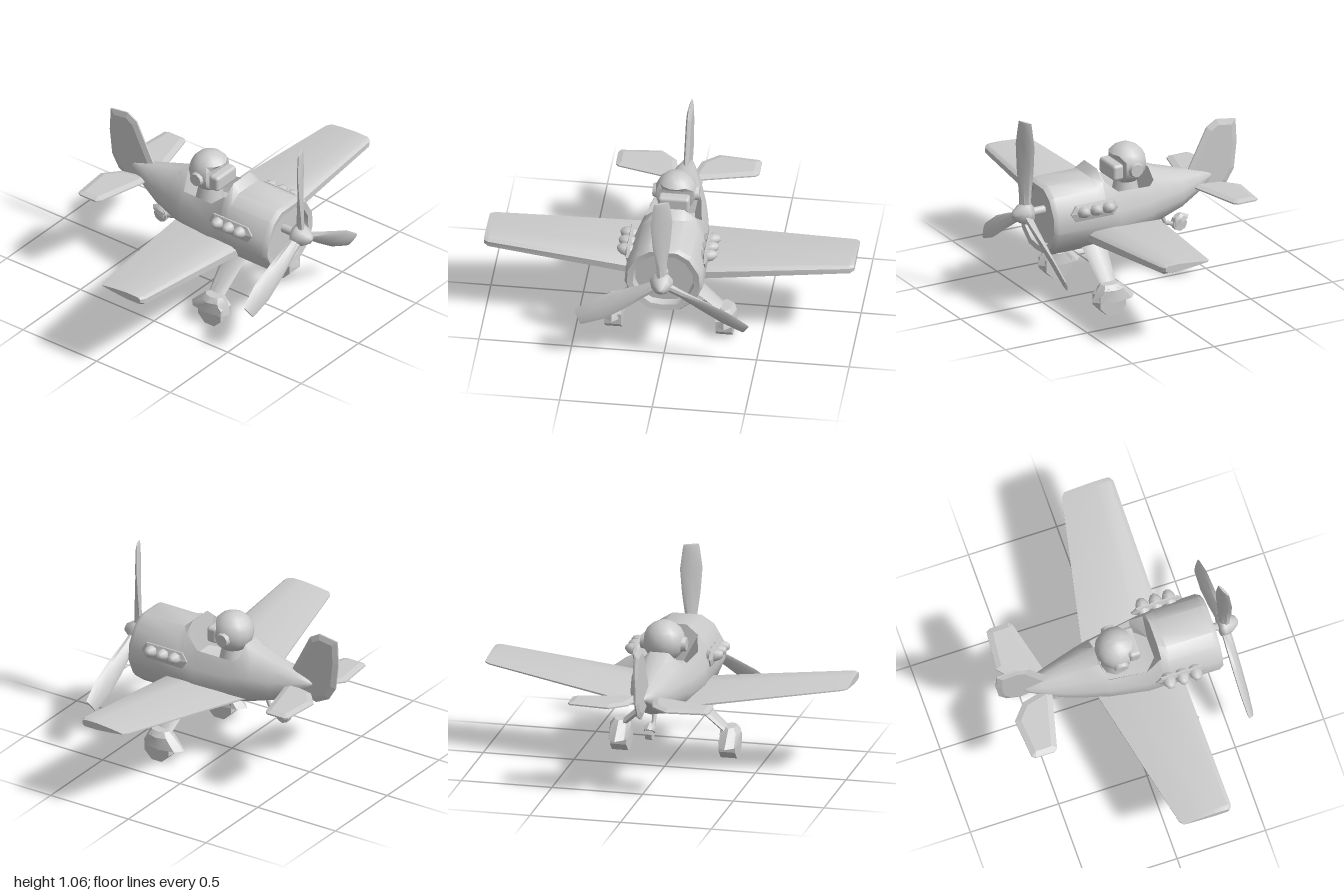
import * as THREE from 'three';
import { toCreasedNormals } from 'three/addons/utils/BufferGeometryUtils.js';
import { RoundedBoxGeometry } from 'three/addons/geometries/RoundedBoxGeometry.js';

const grey = new THREE.MeshStandardMaterial({ color: 0xcccccc, side: THREE.DoubleSide });
const V = (x, y, z) => new THREE.Vector3(x, y, z);

function add(parent, name, geometry, x = 0, y = 0, z = 0) {
  const mesh = new THREE.Mesh(geometry, grey);
  mesh.name = name;
  mesh.position.set(x, y, z);
  parent.add(mesh);
  return mesh;
}

// Skin through equal-length closed rings, capped at both ends, wound outward
function loft(rings, crease = 0.65) {
  const n = rings[0].length, pts = rings.flat(), idx = [];
  for (let r = 0; r < rings.length - 1; r++) {
    for (let i = 0; i < n; i++) {
      const a = r * n + i, b = r * n + (i + 1) % n;
      idx.push(a, b, a + n, b, b + n, a + n);
    }
  }
  [0, rings.length - 1].forEach((r, end) => {
    const c = pts.length;
    pts.push(rings[r].reduce((s, p) => s.add(p), V(0, 0, 0)).divideScalar(n));
    for (let i = 0; i < n; i++) {
      const a = r * n + i, b = r * n + (i + 1) % n;
      idx.push(...(end ? [c, a, b] : [c, b, a]));
    }
  });
  let volume = 0;
  for (let i = 0; i < idx.length; i += 3) {
    volume += pts[idx[i]].dot(V(0, 0, 0).crossVectors(pts[idx[i + 1]], pts[idx[i + 2]]));
  }
  if (volume < 0) idx.reverse();
  const g = new THREE.BufferGeometry().setFromPoints(pts);
  g.setIndex(idx);
  return toCreasedNormals(g, crease);
}

// Level ring of n points with half widths a (x) and b (z)
function levelRing(x, y, z, a, b, n = 8) {
  return Array.from({ length: n }, (_, i) => {
    const t = i / n * Math.PI * 2;
    return V(x + a * Math.sin(t), y, z + b * Math.cos(t));
  });
}

// Thin bevelled plate from an outline
function plate(points) {
  return new THREE.ExtrudeGeometry(new THREE.Shape(points.map(p => new THREE.Vector2(...p))), {
    depth: 0.008, bevelEnabled: true, bevelThickness: 0.01, bevelSize: 0.03,
    bevelOffset: -0.03, bevelSegments: 1,
  }).translate(0, 0, -0.004);
}

// Fuselage section: width, bottom, top, cockpit rim point and inner point
function section([z, w, yb, yt, rimX, rimY, inX, inY], k = 1) {
  const h = yt - yb;
  const half = [[0.42 * w, yb + 0.01], [0.8 * w, yb + 0.18 * h], [w, yb + 0.42 * h],
    [0.97 * w, yb + 0.65 * h], [rimX, rimY], [inX, inY]];
  const right = half.map(([x, y]) => [-x, y]).reverse();
  return [[0, yb], ...half, [0, inY], ...right].map(([x, y]) => V(x * k, 0.5 + (y - 0.5) * k, z));
}

function fuselage() {
  const nose = z => [z, 0.212, 0.295, 0.70, 0.15, 0.655, 0.08, 0.70];
  return loft([
    section(nose(0.49), 0.74), section(nose(0.53), 0.78),
    section(nose(0.535), 0.93), section(nose(0.51)),
    ...[
      [0.25, 0.208, 0.295, 0.70, 0.148, 0.655, 0.08, 0.70],
      // windscreen lip
      [0.205, 0.204, 0.295, 0.69, 0.135, 0.685, 0.07, 0.74],
      [0.19, 0.202, 0.295, 0.68, 0.135, 0.68, 0.06, 0.54],
      // cockpit well
      [0.12, 0.198, 0.297, 0.64, 0.155, 0.62, 0.13, 0.52],
      [-0.09, 0.165, 0.33, 0.62, 0.125, 0.60, 0.09, 0.51],
      // headrest and tail cone
      [-0.12, 0.158, 0.337, 0.63, 0.11, 0.625, 0.05, 0.68],
      [-0.19, 0.142, 0.355, 0.62, 0.10, 0.605, 0.045, 0.65],
      [-0.31, 0.108, 0.39, 0.595, 0.075, 0.585, 0.035, 0.615],
      [-0.43, 0.066, 0.455, 0.58, 0.045, 0.57, 0.02, 0.585],
      [-0.51, 0.03, 0.515, 0.56, 0.02, 0.555, 0.01, 0.56],
      [-0.53, 0.012, 0.53, 0.55, 0.008, 0.545, 0.004, 0.55],
    ].map(s => section(s)),
  ], 0.7);
}

function wing(side) {
  const profile = [[0, 0.5], [0.06, 0.95], [0.35, 1], [0.75, 0.55], [1, 0.12]];
  const loop = [...profile, ...profile.map(([t, h]) => [t, -h]).reverse()];
  const stations = [[0.1, 0.315, -0.155, 0.387, 0.042], [0.975, 0.312, 0.02, 0.496, 0.028],
    [1, 0.295, 0.04, 0.5, 0.02]];
  return loft(stations.map(([x, front, back, y, h]) =>
    loop.map(([t, k]) => V(side * x, y + k * h, front + (back - front) * t))));
}

function propeller() {
  const prop = new THREE.Group();
  prop.name = 'propeller';
  prop.position.set(0, 0.535, 0);
  const spinner = [[0, 0.57], [0.055, 0.572], [0.065, 0.6], [0.05, 0.64], [0.025, 0.675], [0, 0.685]]
    .map(p => new THREE.Vector2(...p));
  add(prop, 'spinner', new THREE.LatheGeometry(spinner, 10).rotateX(Math.PI / 2));
  add(prop, 'shaft', new THREE.CylinderGeometry(0.024, 0.024, 0.11, 8).rotateX(Math.PI / 2), 0, 0, 0.53);
  // radius, half chord, half thickness, pitch
  const blade = loft([[0.02, 0.03, 0.022, 0.9], [0.12, 0.036, 0.02, 0.75], [0.25, 0.052, 0.016, 0.55],
    [0.39, 0.062, 0.014, 0.45], [0.5, 0.047, 0.011, 0.42], [0.525, 0.042, 0.007, 0.42]]
    .map(([r, chord, thick, pitch]) => levelRing(0, r, 0, chord, thick)
      .map(p => p.applyAxisAngle(V(0, 1, 0), pitch))));
  for (let i = 0; i < 3; i++) {
    add(prop, 'propellerBlade', blade, 0, 0, 0.605).rotation.z = i * Math.PI * 2 / 3;
  }
  return prop;
}

function pilot() {
  const g = new THREE.Group();
  g.name = 'pilot';
  g.position.set(0, 0.712, -0.008);
  // helmet with a flattened face opening
  const helmet = new THREE.SphereGeometry(0.114, 14, 10);
  const p = helmet.attributes.position;
  for (let i = 0; i < p.count; i++) {
    if (p.getY(i) < 0.045 && p.getZ(i) > 0.055) p.setZ(i, 0.055);
  }
  add(g, 'helmet', toCreasedNormals(helmet, 0.7));
  add(g, 'goggles', new RoundedBoxGeometry(0.17, 0.09, 0.065, 2, 0.018), 0, -0.02, 0.085);
  add(g, 'neck', new THREE.CylinderGeometry(0.055, 0.085, 0.15, 10), 0, -0.14, 0);
  for (const s of [-1, 1]) {
    add(g, 'earCup', new THREE.CylinderGeometry(0.036, 0.046, 0.035, 10).rotateZ(-s * Math.PI / 2),
      s * 0.108, -0.01, -0.005);
  }
  return g;
}

function landingGear(side) {
  const g = new THREE.Group();
  g.name = 'landingGear';
  add(g, 'gearLeg', loft([levelRing(side * 0.07, 0.36, 0.24, 0.028, 0.08),
    levelRing(side * 0.12, 0.3, 0.242, 0.026, 0.07),
    levelRing(side * 0.285, 0.15, 0.25, 0.026, 0.048)]));
  add(g, 'wheelFairing', loft([levelRing(side * 0.303, 0.172, 0.257, 0.035, 0.055),
    levelRing(side * 0.303, 0.145, 0.252, 0.058, 0.08),
    levelRing(side * 0.303, 0.08, 0.235, 0.061, 0.13)], 0.5));
  add(g, 'wheel', toCreasedNormals(new THREE.CylinderGeometry(0.084, 0.084, 0.09, 8)
    .rotateY(Math.PI / 8).rotateZ(Math.PI / 2), 0.3), side * 0.3, 0.078, 0.255);
  return g;
}

function exhaust(side) {
  const g = new THREE.Group();
  g.name = 'exhaust';
  // backing plate, long hexagon outline
  add(g, 'exhaustPlate', plate([[-0.44, 0.565], [-0.41, 0.612], [-0.18, 0.612], [-0.15, 0.565],
    [-0.18, 0.52], [-0.41, 0.52]]).rotateY(Math.PI / 2), side * 0.209);
  for (const z of [0.37, 0.295, 0.22]) {
    const stub = add(g, 'exhaustStub', new THREE.SphereGeometry(1, 8, 6).rotateZ(Math.PI / 2),
      side * 0.215, 0.572, z);
    stub.scale.set(0.058, 0.034, 0.038);
    stub.rotation.z = side * 0.2;
  }
  return g;
}

function tailWheel() {
  const g = new THREE.Group();
  g.name = 'tailWheel';
  const path = new THREE.CurvePath();
  const pts = [V(0, 0.41, -0.21), V(0, 0.315, -0.25), V(0, 0.295, -0.31)];
  path.add(new THREE.LineCurve3(pts[0], pts[1]));
  path.add(new THREE.LineCurve3(pts[1], pts[2]));
  add(g, 'tailWheelStrut', new THREE.TubeGeometry(path, 8, 0.012, 6));
  add(g, 'rearWheel', toCreasedNormals(new THREE.CylinderGeometry(0.042, 0.042, 0.036, 8)
    .rotateZ(Math.PI / 2), 0.3), 0, 0.297, -0.335);
  const cover = add(g, 'rearFairing', loft([levelRing(0, 0.035, 0, 0.016, 0.025),
    levelRing(0, 0.02, 0, 0.029, 0.038), levelRing(0, -0.008, 0, 0.031, 0.058)], 0.5), 0, 0.312, -0.34);
  cover.rotation.x = 0.5;
  return g;
}

export function createModel() {
  const plane = new THREE.Group();
  plane.name = 'airplane';
  add(plane, 'fuselage', fuselage());
  plane.add(propeller(), pilot(), tailWheel());

  // upright tail fin, outline as (-z, y)
  add(plane, 'tailFin', plate([[0.38, 0.57], [0.505, 0.815], [0.565, 0.85], [0.68, 0.833], [0.687, 0.7],
    [0.67, 0.55], [0.625, 0.475], [0.545, 0.435], [0.42, 0.47]]).rotateY(Math.PI / 2));

  for (const s of [-1, 1]) {
    add(plane, 'wing', wing(s));
    add(plane, 'tailplane', plate([[0.03, -0.4], [0.068, -0.555], [0.155, -0.63], [0.375, -0.61],
      [0.388, -0.59], [0.388, -0.485], [0.37, -0.465], [0.07, -0.39]].map(([x, z]) => [s * x, z]))
      .rotateX(Math.PI / 2), 0, 0.512, 0);
    plane.add(landingGear(s), exhaust(s));
  }
  return plane;
}
